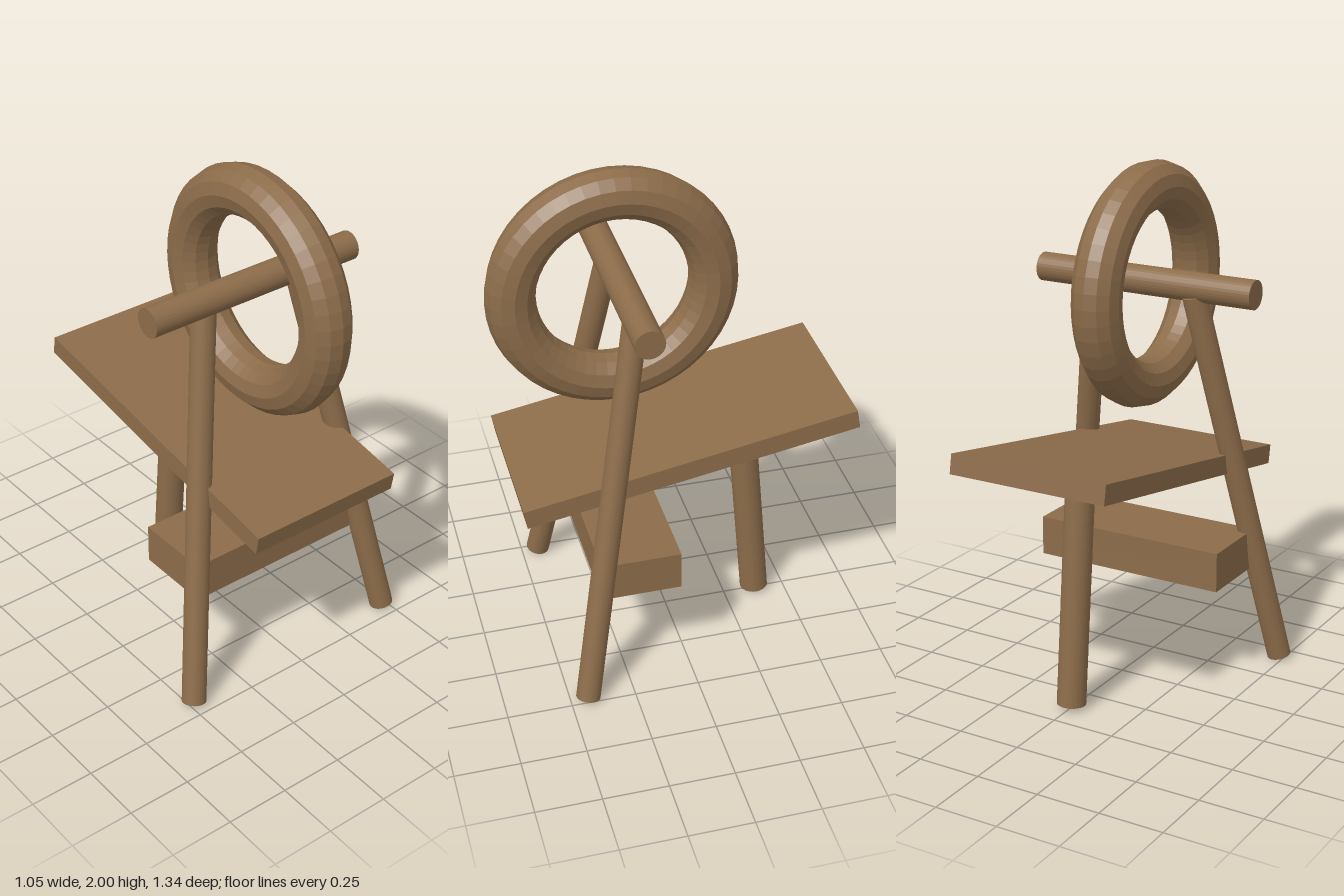
import * as THREE from 'three';

export function createModel() {
  const model = new THREE.Group();
  model.name = 'spinningWheel';
  const wood = new THREE.MeshStandardMaterial({ color: 0x8c6c4a, flatShading: true });
  wood.name = 'brown wood';

  const add = (name, geometry, x, y, z) => {
    const mesh = new THREE.Mesh(geometry, wood);
    mesh.name = name;
    mesh.position.set(x, y, z);
    model.add(mesh);
    return mesh;
  };

  // Round rod between two points
  const rod = (name, from, to, radius) => {
    const a = new THREE.Vector3(...from);
    const b = new THREE.Vector3(...to);
    const dir = b.clone().sub(a);
    const mid = a.clone().add(b).multiplyScalar(0.5);
    const mesh = add(name, new THREE.CylinderGeometry(radius, radius, dir.length(), 32), mid.x, mid.y, mid.z);
    mesh.quaternion.setFromUnitVectors(new THREE.Vector3(0, 1, 0), dir.normalize());
  };

  // Wheel on its axle, rolling in the side plane
  add('wheel', new THREE.TorusGeometry(0.378, 0.094, 12, 48), 0, 1.528, 0.195).rotation.y = Math.PI / 2;
  rod('axle', [-0.465, 1.55, 0.173], [0.456, 1.55, 0.173], 0.056);

  // Two splayed front legs carry the axle
  for (const [side, name] of [[1, 'leftFrontLeg'], [-1, 'rightFrontLeg']]) {
    rod(name, [side * 0.477, 0.0115, 0.432], [side * 0.215, 1.52, 0.164], 0.047);
  }

  // Back leg under the table
  rod('backLeg', [0, 0.018, -0.378], [0, 0.92, -0.3], 0.056);

  // Table rising towards the back
  add('table', new THREE.BoxGeometry(0.648, 0.076, 1.295), 0, 0.895, -0.025)
    .rotation.x = THREE.MathUtils.degToRad(10);

  // Cross beam between the front legs
  add('crossBeam', new THREE.BoxGeometry(0.784, 0.156, 0.31), 0, 0.483, 0.195);

  return model;
}
